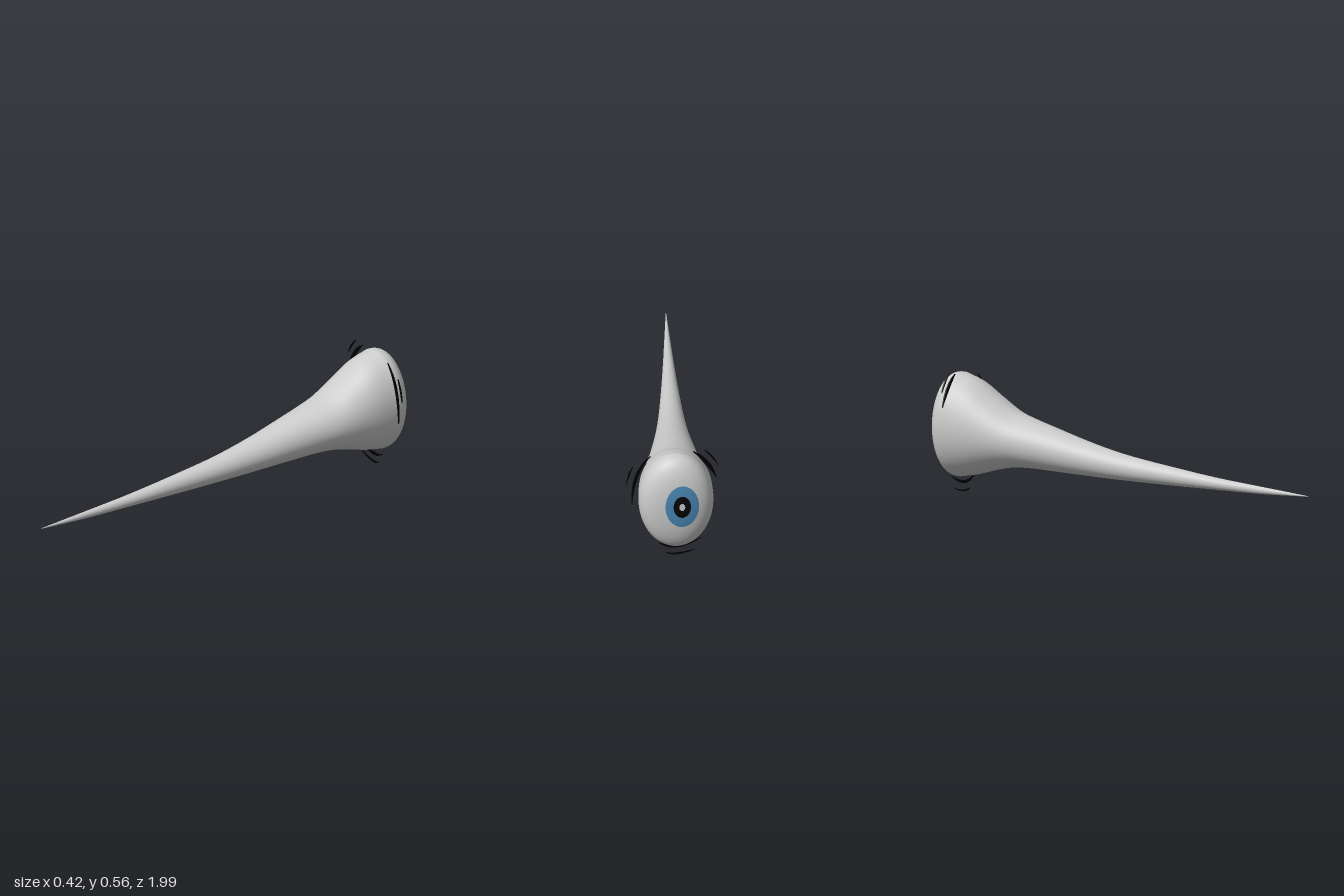
import * as THREE from 'three';

const CX = -0.018, CY = 0.31;       // centre of the eyeball
const RX = 0.172, RY = 0.2425;      // eyeball half width and half height
const CAP_Z = -0.89, CAP_D = 0.108; // where the rounded back begins, and its depth
const N = 2.5;                      // roundness of the back

// z of the rounded back at a relative radius of 0..1
const capZ = (rho) => CAP_Z - CAP_D * Math.pow(Math.max(0, 1 - Math.pow(rho, N)), 1 / N);

const mat = (color, side = THREE.FrontSide) => new THREE.MeshStandardMaterial({ color, side });

// Closed skin over elliptical rings {z, cy, rx, ry}, running from +z to -z
function skin(rings, seg) {
  const pos = [], idx = [];
  rings.forEach((r, i) => {
    for (let j = 0; j < seg; j++) {
      const t = (j / seg) * Math.PI * 2;
      pos.push(CX + r.rx * Math.cos(t), r.cy + r.ry * Math.sin(t), r.z);
      if (i === rings.length - 1) continue;
      const a = i * seg + j, b = i * seg + ((j + 1) % seg);
      idx.push(a, a + seg, b, b, a + seg, b + seg);
    }
  });
  const g = new THREE.BufferGeometry();
  g.setAttribute('position', new THREE.Float32BufferAttribute(pos, 3));
  g.setIndex(idx);
  g.computeVertexNormals();
  return g;
}

function bodyRings() {
  // z, top, bottom, half width
  const stations = [
    [0.99, 0.132, 0.129, 0.0015],
    [0.75, 0.153, 0.121, 0.014],
    [0.5, 0.175, 0.12, 0.027],
    [0.25, 0.205, 0.12, 0.042],
    [0, 0.24, 0.122, 0.06],
    [-0.2, 0.282, 0.127, 0.08],
    [-0.4, 0.335, 0.134, 0.107],
    [-0.5, 0.362, 0.137, 0.123],
    [-0.6, 0.395, 0.133, 0.14],
    [-0.7, 0.455, 0.112, 0.156],
    [-0.8, 0.52, 0.084, 0.168],
    [CAP_Z, CY + RY, CY - RY, RX],
  ];
  const curve = (f) => new THREE.CatmullRomCurve3(stations.map(f), false, 'catmullrom', 0.5);
  const heights = curve(([z, top, bottom]) => new THREE.Vector3(top, bottom, z));
  const widths = curve(([z, , , w]) => new THREE.Vector3(w, 0, z));
  const rings = [];
  for (let i = 0; i <= 88; i++) {
    const h = heights.getPoint(i / 88), w = widths.getPoint(i / 88);
    rings.push({ z: h.z, cy: (h.x + h.y) / 2, ry: (h.x - h.y) / 2, rx: w.x });
  }
  // rounded back of the eyeball
  for (let i = 1; i <= 32; i++) {
    const rho = Math.pow(Math.cos((i / 32) * Math.PI / 2), 2 / N);
    const s = Math.max(rho, 0.001);
    rings.push({ z: capZ(rho), cy: CY, rx: RX * s, ry: RY * s });
  }
  // close the tip
  rings.unshift({ z: 0.991, cy: 0.1305, rx: 0.0001, ry: 0.0001 });
  return rings;
}

// Elliptical ring laid onto the back of the eyeball
function eyeRing(name, r0, r1, color) {
  const g = new THREE.RingGeometry(r0, r1, 64, 8);
  g.rotateY(Math.PI);
  g.scale(1, 1.4, 1);
  g.translate(-0.045, 0.326, 0);
  const p = g.attributes.position;
  for (let i = 0; i < p.count; i++) {
    const rho = Math.hypot((p.getX(i) - CX) / RX, (p.getY(i) - CY) / RY);
    p.setZ(i, capZ(rho) - 0.002);
  }
  g.computeVertexNormals();
  const m = new THREE.Mesh(g, mat(color));
  m.name = name;
  return m;
}

// Thin crescent between two tips, through an outer and an inner middle point
function crescent([ax, ay, bx, by, ox, oy, ix, iy]) {
  const control = (mx, my) => [2 * mx - (ax + bx) / 2, 2 * my - (ay + by) / 2];
  const s = new THREE.Shape();
  s.moveTo(ax, ay);
  s.quadraticCurveTo(...control(ox, oy), bx, by);
  s.quadraticCurveTo(...control(ix, iy), ax, ay);
  const g = new THREE.ExtrudeGeometry(s, { depth: 0.006, bevelEnabled: false, curveSegments: 20 });
  g.translate(0, 0, -0.881);
  return g;
}

export function createModel() {
  const model = new THREE.Group();

  const body = new THREE.Mesh(skin(bodyRings(), 72), mat(0xcccccc));
  body.name = 'eyeballAndStalk';
  model.add(body);

  // Eye markings on the back
  model.add(
    eyeRing('iris', 0.04, 0.077, 0x4a88b5),
    eyeRing('pupil', 0.0135, 0.04, 0x050505),
    eyeRing('highlight', 0, 0.0135, 0xcccccc),
  );

  // Motion marks around the eyeball
  const marks = new THREE.Group();
  marks.name = 'motionMarks';
  const black = mat(0x000000, THREE.DoubleSide);
  [
    [-0.097, 0.553, -0.206, 0.41, -0.167, 0.499, -0.153, 0.486],
    [-0.149, 0.562, -0.211, 0.478, -0.188, 0.525, -0.183, 0.519],
    [0.096, 0.53, 0.183, 0.256, 0.17, 0.419, 0.156, 0.415],
    [0.178, 0.476, 0.21, 0.37, 0.201, 0.428, 0.195, 0.424],
    [-0.131, 0.087, 0.06, 0.063, -0.024, 0.037, -0.026, 0.051],
    [-0.106, 0.026, 0.028, 0.009, -0.028, 0.0, -0.03, 0.008],
  ].forEach((points, i) => {
    const m = new THREE.Mesh(crescent(points), black);
    m.name = `motionMark${i + 1}`;
    marks.add(m);
  });
  model.add(marks);

  return model;
}
